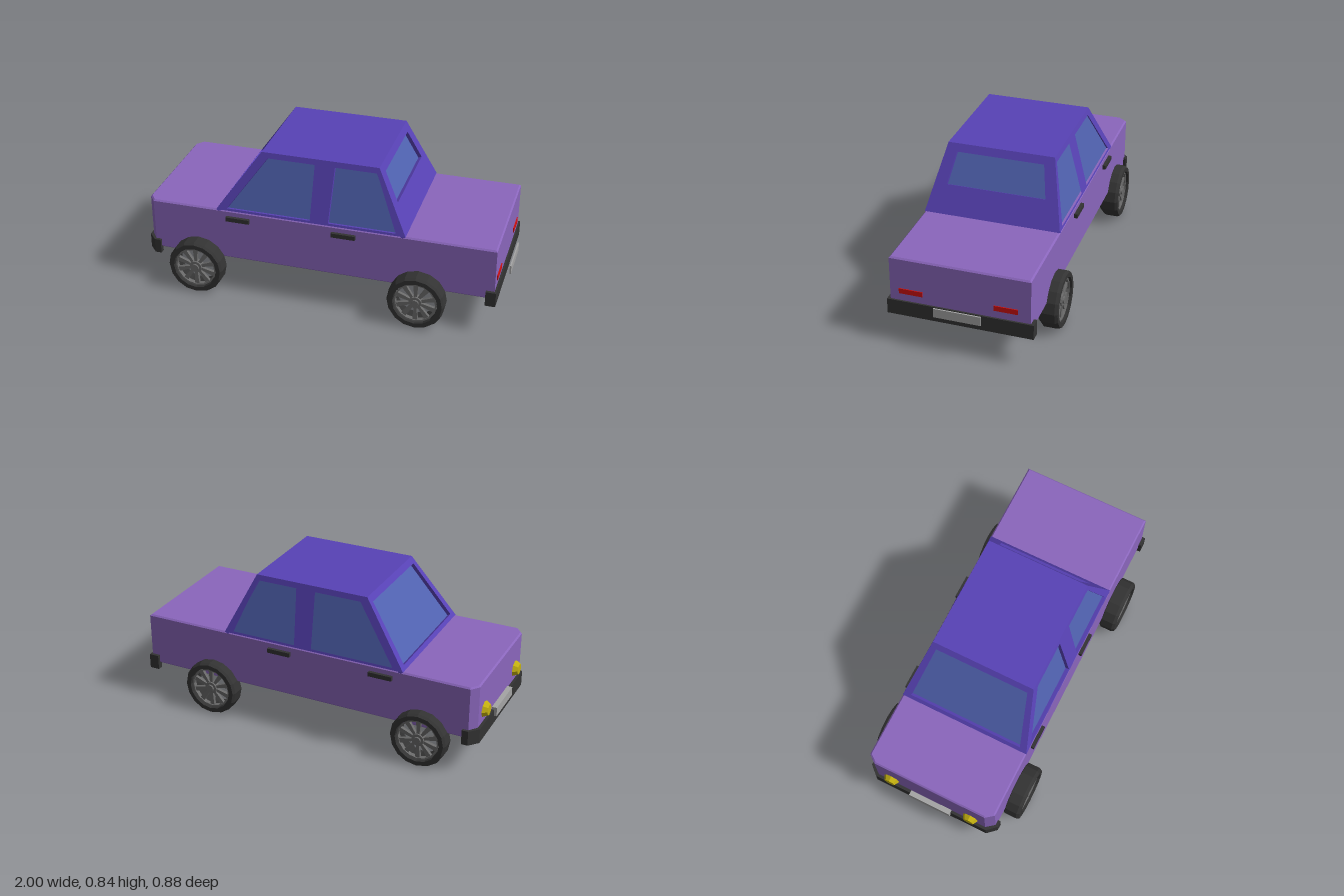
import * as THREE from 'three';

const mat = (name, color) => {
  const m = new THREE.MeshStandardMaterial({ color });
  m.name = name;
  m.flatShading = true;
  return m;
};

const ZC = -0.01; // centre line of the body
const Y0 = 0.5, Y1 = 0.84; // cabin base and roof heights

export function createModel() {
  const car = new THREE.Group();
  car.name = 'car';
  const paint = mat('lilac paint', 0x8a66bc);
  const cabinPaint = mat('violet cabin paint', 0x5842b6);
  const glassMat = mat('blue glass', 0x5062b0);
  const black = mat('black rubber', 0x333333);
  const rimMat = mat('grey rim', 0x6a6a6a);
  const plateMat = mat('light grey plate', 0xa4a4a4);
  const yellow = mat('yellow lamp', 0xc4b010);
  const red = mat('red lamp', 0xd01010);

  const add = (name, geo, material, parent = car) => {
    const m = new THREE.Mesh(geo, material);
    m.name = name;
    parent.add(m);
    return m;
  };
  // box given by its limits
  const box = (name, material, x0, x1, y0, y1, z0, z1) =>
    add(name, new THREE.BoxGeometry(x1 - x0, y1 - y0, z1 - z0), material)
      .position.set((x0 + x1) / 2, (y0 + y1) / 2, (z0 + z1) / 2);
  const shapeOf = pts => new THREE.Shape(pts.map(p => new THREE.Vector2(...p)));
  // plan outline raised from y0 to y1
  const slab = (name, material, pts, y0, y1, bevel) => {
    const geo = new THREE.ExtrudeGeometry(shapeOf(pts), {
      depth: y1 - y0 - 2 * bevel, bevelEnabled: bevel > 0, bevelSegments: 1,
      bevelSize: bevel, bevelThickness: bevel, bevelOffset: -bevel,
    });
    geo.rotateX(-Math.PI / 2);
    add(name, geo, material).position.set(0, y0 + bevel, ZC);
  };

  // lower body with cut front corners
  slab('body', paint, [[-0.97, -0.325], [-0.935, -0.37], [0.955, -0.37],
    [0.955, 0.37], [-0.935, 0.37], [-0.97, 0.325]], 0.205, 0.5, 0.008);

  // bumpers wrapping round the corners
  slab('frontBumper', black, [[-0.905, -0.385], [-0.94, -0.385], [-0.985, -0.335], [-0.985, 0.335],
    [-0.94, 0.385], [-0.905, 0.385], [-0.905, 0.355], [-0.93, 0.355], [-0.955, 0.32],
    [-0.955, -0.32], [-0.93, -0.355], [-0.905, -0.355]], 0.175, 0.257, 0);
  slab('rearBumper', black, [[0.91, -0.387], [0.965, -0.387], [0.965, 0.387], [0.91, 0.387],
    [0.91, 0.355], [0.94, 0.355], [0.94, -0.355], [0.91, -0.355]], 0.172, 0.255, 0);

  // cabin wall: sloping frame with window openings and recessed glass
  const wall = (name, origin, u, inset, outline, windows) => {
    const up = new THREE.Vector3(inset[0], Y1 - Y0, inset[1]);
    const stretch = up.length() / (Y1 - Y0);
    up.normalize();
    const uv = pts => pts.map(([a, y]) => [a, (y - Y0) * stretch]);
    const shape = shapeOf(uv(outline));
    windows.forEach(w => shape.holes.push(new THREE.Path(uv(w).map(p => new THREE.Vector2(...p)))));
    const g = new THREE.Group();
    g.name = name;
    g.applyMatrix4(new THREE.Matrix4().makeBasis(u, up, u.clone().cross(up)).setPosition(...origin));
    car.add(g);
    const frame = new THREE.ExtrudeGeometry(shape, { depth: 0.025, bevelEnabled: false });
    add(name + 'Frame', frame.translate(0, 0, -0.025), cabinPaint, g);
    const glass = new THREE.ShapeGeometry(shapeOf(uv(outline)));
    add(name + 'Glass', glass.translate(0, 0, -0.02), glassMat, g);
  };

  const sideOutline = [[-0.57, Y0], [0.475, Y0], [0.31, Y1], [-0.33, Y1]];
  const sideWindows = [
    [[-0.51, 0.512], [-0.045, 0.512], [-0.036, 0.81], [-0.295, 0.81]],
    [[0.055, 0.512], [0.422, 0.512], [0.3, 0.81], [0.073, 0.81]],
  ];
  for (const s of [1, -1]) {
    const flip = pts => pts.map(([a, y]) => [s * a, y]);
    wall(s > 0 ? 'leftSide' : 'rightSide', [0, Y0, ZC + s * 0.37], new THREE.Vector3(s, 0, 0),
      [0, -s * 0.08], flip(sideOutline), sideWindows.map(flip));
  }
  const endOutline = [[-0.37, Y0], [0.37, Y0], [0.29, Y1], [-0.29, Y1]];
  wall('windscreen', [-0.57, Y0, ZC], new THREE.Vector3(0, 0, 1), [0.24, 0], endOutline,
    [[[-0.325, 0.52], [0.325, 0.52], [0.265, 0.81], [-0.265, 0.81]]]);
  wall('rearWindow', [0.475, Y0, ZC], new THREE.Vector3(0, 0, -1), [-0.165, 0], endOutline,
    [[[-0.27, 0.642], [0.27, 0.642], [0.238, 0.8], [-0.238, 0.8]]]);
  box('roof', cabinPaint, -0.33, 0.31, 0.815, Y1, ZC - 0.29, ZC + 0.29);

  // wheels: hollow tyre, closed on the inside, with a spoked rim
  const tyreGeo = new THREE.LatheGeometry([[0, -0.0575], [0.125, -0.0575], [0.155, -0.025], [0.155, 0.042],
    [0.146, 0.0575], [0.122, 0.0575], [0.116, -0.045]].map(p => new THREE.Vector2(...p)), 16);
  const ringGeo = new THREE.LatheGeometry([[0.117, 0.045], [0.108, 0.045], [0.108, 0.02]]
    .map(p => new THREE.Vector2(...p)), 16);
  const spokeGeo = new THREE.ExtrudeGeometry(
    shapeOf([[0.025, -0.007], [0.115, -0.014], [0.115, 0.014], [0.025, 0.007]]),
    { depth: 0.018, bevelEnabled: false }).rotateX(-Math.PI / 2);
  const hubGeo = new THREE.CylinderGeometry(0.034, 0.04, 0.03, 12);
  const capGeo = new THREE.CylinderGeometry(0.018, 0.02, 0.008, 12);
  for (const x of [-0.68, 0.553]) for (const s of [1, -1]) {
    const wheel = new THREE.Group();
    wheel.name = (x < 0 ? 'front' : 'rear') + (s > 0 ? 'Left' : 'Right') + 'Wheel';
    wheel.position.set(x, 0.155, s > 0 ? 0.3875 : -0.3825);
    wheel.rotation.x = s * Math.PI / 2;
    car.add(wheel);
    add('tyre', tyreGeo, black, wheel);
    add('rimRing', ringGeo, rimMat, wheel);
    for (let i = 0; i < 10; i++) {
      const spoke = add('spoke', spokeGeo, rimMat, wheel);
      spoke.rotation.y = (i + 0.5) * Math.PI / 5;
      spoke.position.y = 0.02;
    }
    add('hub', hubGeo, rimMat, wheel).position.y = 0.03;
    add('hubCap', capGeo, rimMat, wheel).position.y = 0.049;
  }

  // lamps and door handles, mirrored
  const lampGeo = new THREE.CylinderGeometry(0.03, 0.047, 0.03, 8).rotateZ(Math.PI / 2);
  for (const s of [1, -1]) {
    add('headlight', lampGeo, yellow).position.set(-0.982, 0.322, ZC + s * 0.238);
    const t = ZC + 0.009 + s * 0.25;
    box('tailLight', red, 0.952, 0.96, 0.297, 0.325, t - 0.063, t + 0.063);
    const h = ZC + s * 0.374;
    for (const x of [-0.513, 0.075])
      box('doorHandle', black, x, x + 0.132, 0.443, 0.467, h - 0.014, h + 0.014);
  }

  // number plates, left blank
  box('frontPlate', plateMat, -1, -0.972, 0.222, 0.272, ZC - 0.122, ZC + 0.122);
  box('rearPlate', plateMat, 0.992, 1, 0.22, 0.27, ZC - 0.125, ZC + 0.125);
  return car;
}
